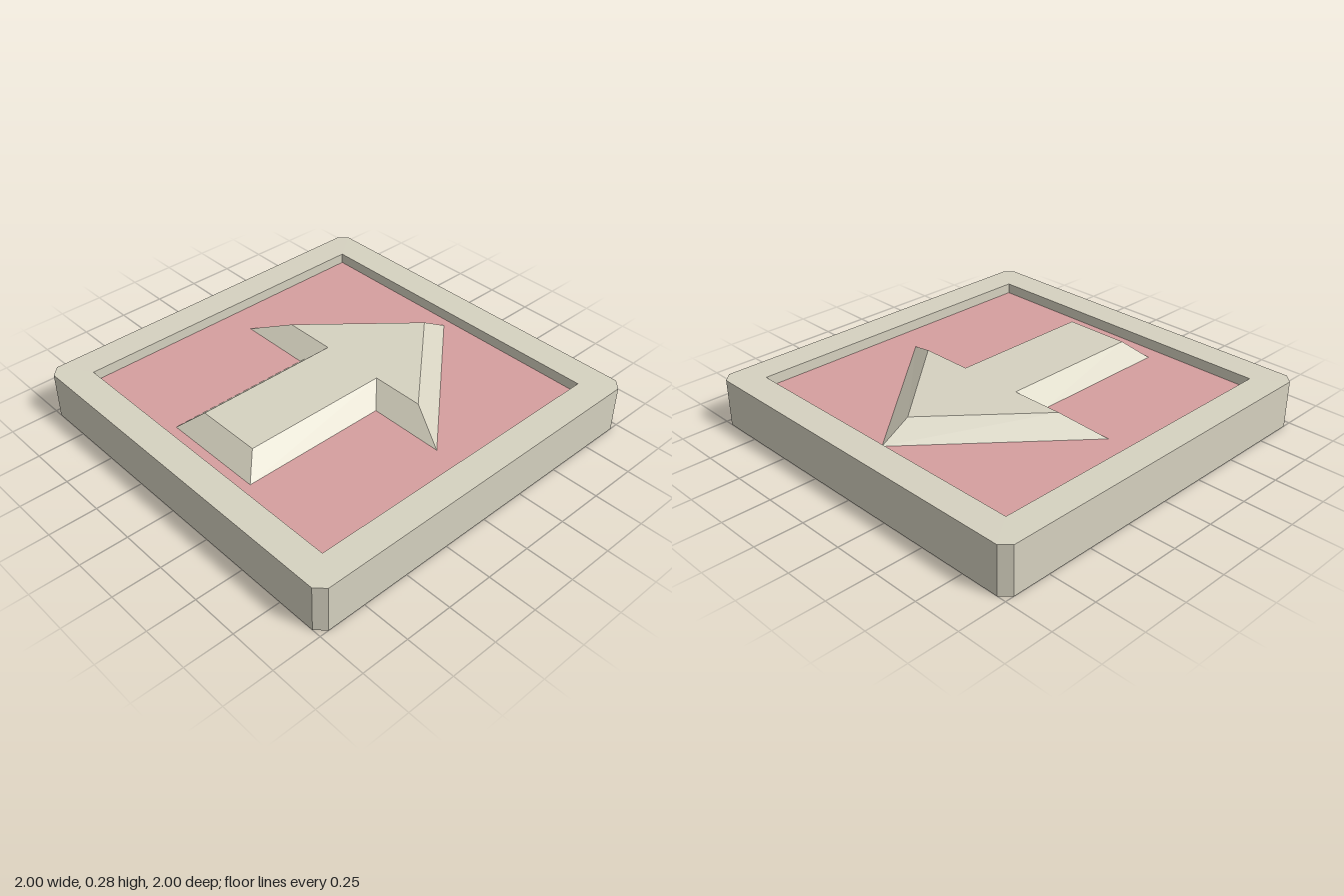
import * as THREE from 'three';
import { mergeGeometries } from 'three/addons/utils/BufferGeometryUtils.js';

const TOP = 0.25, FLOOR = 0.195, ARROW_TOP = 0.285;

// Outlines are counter-clockwise from above, as [x, -z]
const toShape = (pts) => new THREE.Shape(pts.map(([x, y]) => new THREE.Vector2(x, y)));

// Flat horizontal face, facing up or down
function cap(pts, y, hole = null, down = false) {
  const shape = toShape(pts);
  if (hole) shape.holes.push(toShape(hole));
  const g = new THREE.ShapeGeometry(shape).toNonIndexed();
  g.rotateX(down ? Math.PI / 2 : -Math.PI / 2).translate(0, y, 0);
  g.deleteAttribute('uv');
  return g;
}

// Strip of flat quads between two matching outlines
function band(a, ya, b, yb) {
  const pos = [];
  a.forEach((p, i) => {
    const j = (i + 1) % a.length;
    const a0 = [p[0], ya, -p[1]], a1 = [a[j][0], ya, -a[j][1]];
    const b0 = [b[i][0], yb, -b[i][1]], b1 = [b[j][0], yb, -b[j][1]];
    pos.push(...a0, ...a1, ...b1, ...a0, ...b1, ...b0);
  });
  const g = new THREE.BufferGeometry();
  g.setAttribute('position', new THREE.Float32BufferAttribute(pos, 3));
  g.computeVertexNormals();
  return g;
}

// Arrow outline from tip, wing, shaft and tail measures
function arrowOutline(tip, wing, neck, shaft, tail) {
  return [[0, tip], [-wing, neck], [-shaft, neck], [-shaft, -tail],
    [shaft, -tail], [shaft, neck], [wing, neck]];
}

export function createModel() {
  const stone = new THREE.MeshStandardMaterial({ color: 0xd6d2c0, name: 'stone' });
  const pink = new THREE.MeshStandardMaterial({ color: 0xd69f9f, name: 'pink' });
  const model = new THREE.Group();
  model.name = 'arrowTile';

  const add = (name, parts, material) => {
    const mesh = new THREE.Mesh(mergeGeometries(parts), material);
    mesh.name = name;
    model.add(mesh);
  };

  // Square tile with clipped corners and a shallow recess
  const c = 0.953, r = 0.842;
  const outer = [[-c, -1], [c, -1], [1, -c], [1, c], [c, 1], [-c, 1], [-1, c], [-1, -c]];
  const inner = [[-r, -r], [r, -r], [r, r], [-r, r]];
  add('tileBody', [
    band(outer, 0, outer, TOP),
    cap(outer, TOP, inner),
    band(inner, TOP, inner, FLOOR),
    cap(outer, 0, null, true),
  ], stone);

  // Coloured floor of the recess
  add('recessFloor', [cap(inner, FLOOR)], pink);

  // Raised arrow with sloping sides
  const foot = arrowOutline(0.797, 0.675, 0.02, 0.275, 0.76);
  const crest = arrowOutline(0.64, 0.455, 0.12, 0.175, 0.66);
  add('arrow', [band(foot, FLOOR, crest, ARROW_TOP), cap(crest, ARROW_TOP)], stone);

  return model;
}
